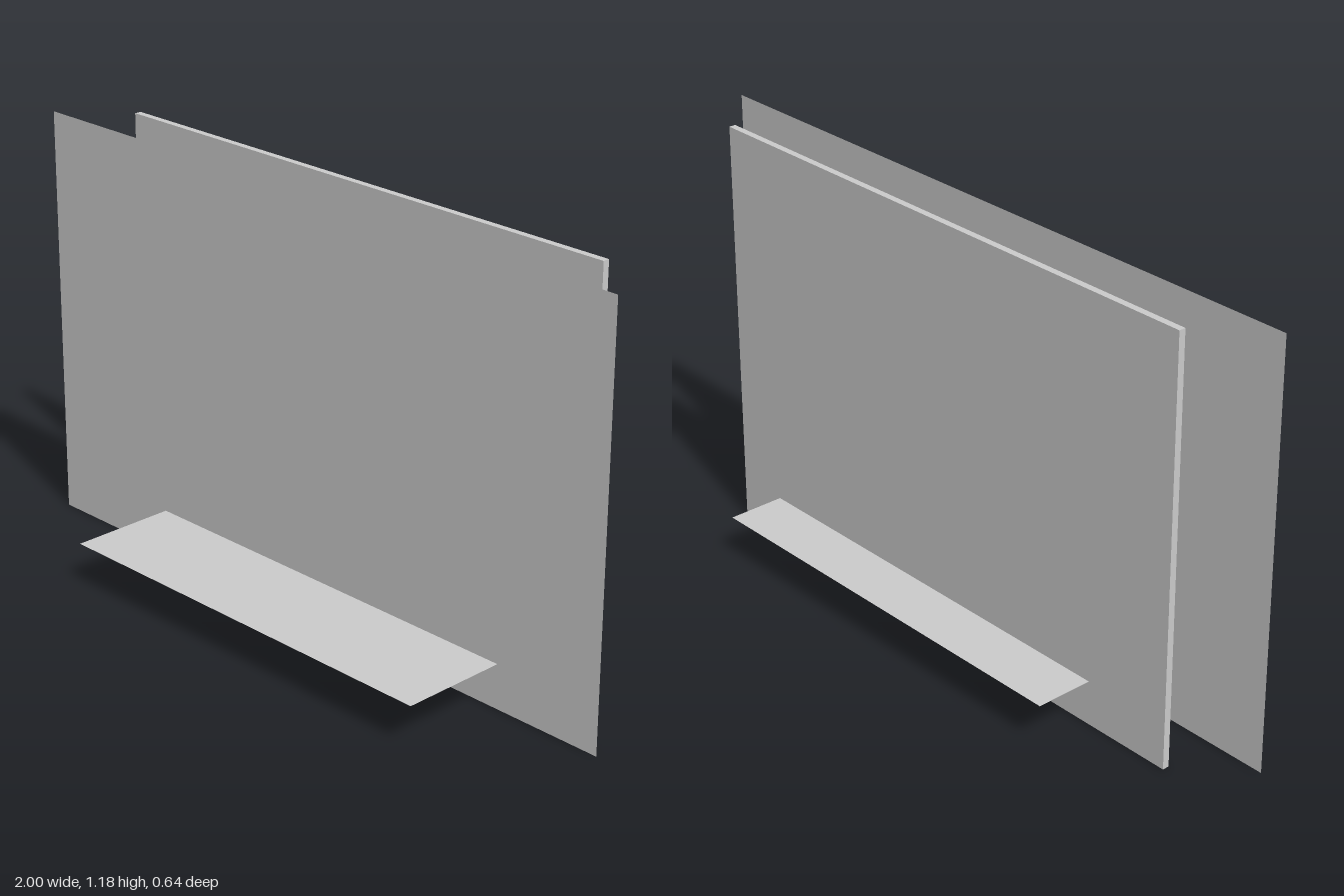
import * as THREE from 'three';

const grey = new THREE.MeshStandardMaterial({ color: 0xcccccc, flatShading: true });
const sheet = new THREE.MeshStandardMaterial({ color: 0xcccccc, side: THREE.DoubleSide });

const HEIGHT = 1.18;
const SHELF_Y = 0.125;
const BOARD_BACK = -0.154, BOARD_FRONT = -0.135;

function add(group, name, geometry, material) {
  const mesh = new THREE.Mesh(geometry, material);
  mesh.name = name;
  group.add(mesh);
}

// Extrudes a (z, y) profile along x from x0 to x1
function extrudeAlongX(shape, x0, x1) {
  const geometry = new THREE.ExtrudeGeometry(shape, { depth: x1 - x0, bevelEnabled: false, curveSegments: 6 });
  return geometry.rotateY(-Math.PI / 2).translate(x1, 0, 0);
}

// Profile standing on the shelf against the board, with a rounded front top edge
function blockProfile(front, top, rz, ry) {
  const shape = new THREE.Shape();
  shape.moveTo(BOARD_FRONT, SHELF_Y);
  shape.lineTo(front, SHELF_Y);
  shape.lineTo(front, top - ry);
  shape.absellipse(front - rz, top - ry, rz, ry, 0, Math.PI / 2, false);
  shape.lineTo(BOARD_FRONT, top);
  shape.closePath();
  return shape;
}

export function createModel() {
  const group = new THREE.Group();
  group.name = 'panels';

  // Wide thin sheet standing in front
  add(group, 'frontSheet', new THREE.PlaneGeometry(2, HEIGHT).translate(0, HEIGHT / 2, 0.013), sheet);

  // Thicker board behind it
  const depth = BOARD_FRONT - BOARD_BACK;
  add(group, 'backBoard', new THREE.BoxGeometry(1.664, HEIGHT, depth)
    .translate(0, HEIGHT / 2, (BOARD_FRONT + BOARD_BACK) / 2), grey);

  // Horizontal sheet passing through both
  add(group, 'shelfSheet', new THREE.PlaneGeometry(1.243, 0.638).rotateX(-Math.PI / 2)
    .translate(0.053, SHELF_Y, 0), sheet);

  // Small blocks on the shelf, against the board
  add(group, 'roundedBlock', extrudeAlongX(blockProfile(-0.106, 0.18, 0.026, 0.02), 0.325, 0.37), grey);
  add(group, 'linkBlock', extrudeAlongX(blockProfile(-0.112, 0.166, 0.008, 0.006), 0.37, 0.405), grey);
  add(group, 'lowBlock', extrudeAlongX(blockProfile(-0.094, 0.161, 0.006, 0.006), 0.378, 0.46), grey);

  return group;
}
